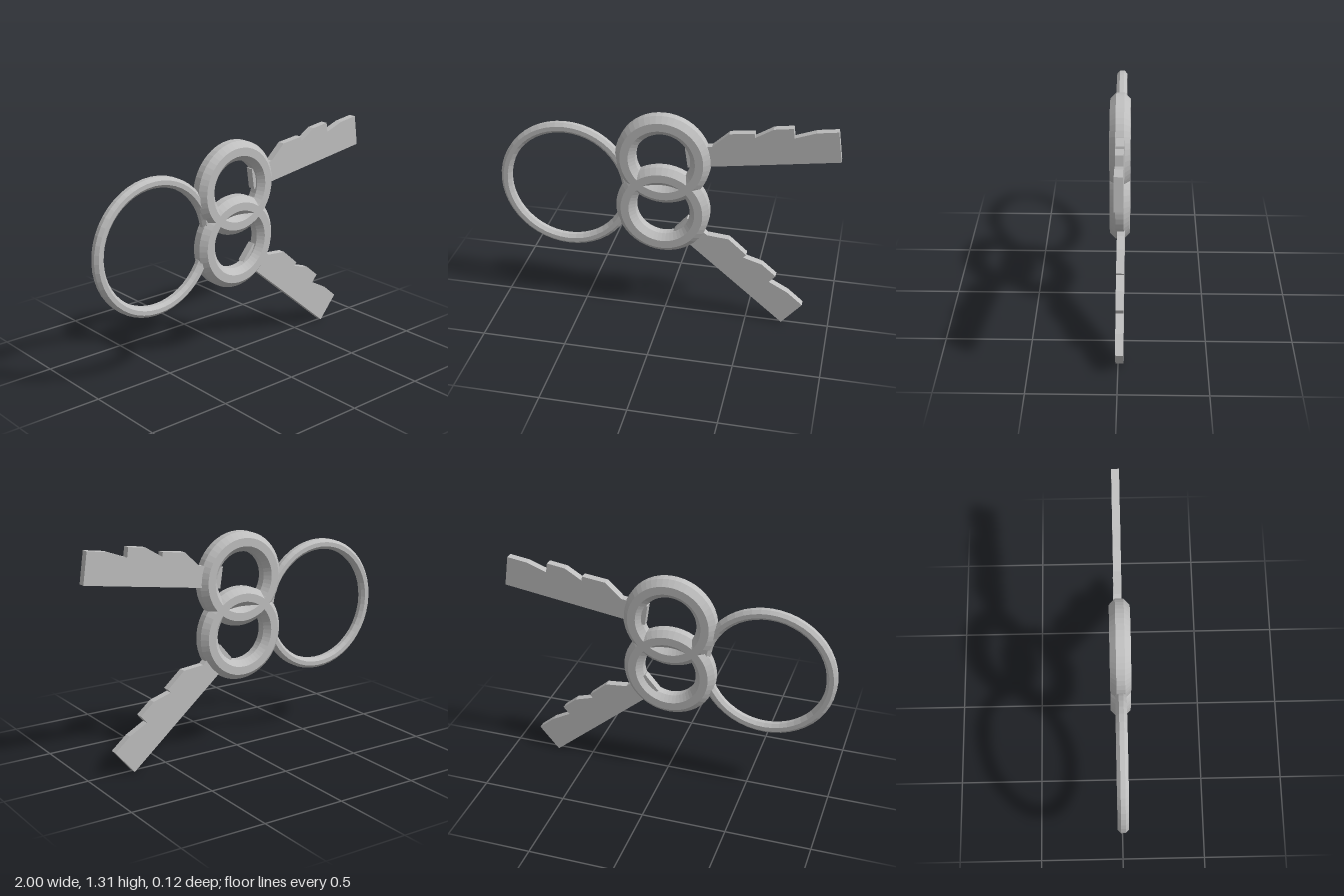
import * as THREE from 'three';

const steel = new THREE.MeshStandardMaterial({ color: 0xbfbfbf });
steel.name = 'steelGrey';

// Faceted ring with an octagonal section whose flats face front, back, in and out
function makeRing(name, x, y, radius, halfThickness) {
  const corner = halfThickness / Math.cos(Math.PI / 8);
  const profile = [];
  for (let i = 0; i <= 8; i++) {
    const a = (i + 0.5) * Math.PI / 4;
    profile.push(new THREE.Vector2(radius + corner * Math.cos(a), corner * Math.sin(a)));
  }
  const geometry = new THREE.LatheGeometry(profile, 48).toNonIndexed();
  geometry.computeVertexNormals();
  geometry.rotateX(Math.PI / 2);
  const ring = new THREE.Mesh(geometry, steel);
  ring.name = name;
  ring.position.set(x, y, 0);
  return ring;
}

// Toothed blade; its local origin is the lower corner of the tip
const bladeOutline = [
  [0, 0], [0, 0.184], [-0.122, 0.184], [-0.246, 0.158], [-0.246, 0.216], [-0.357, 0.216],
  [-0.465, 0.17], [-0.465, 0.196], [-0.608, 0.199], [-0.715, 0.125], [-0.873, 0.125], [-0.873, 0],
].map(([x, y]) => new THREE.Vector2(x, y));

function makeBlade(name, x, y, degrees) {
  const geometry = new THREE.ExtrudeGeometry(new THREE.Shape(bladeOutline), {
    depth: 0.045, bevelEnabled: false,
  });
  const blade = new THREE.Mesh(geometry, steel);
  blade.name = name;
  blade.position.set(x, y, -0.03);
  blade.rotation.z = THREE.MathUtils.degToRad(degrees);
  return blade;
}

export function createModel() {
  const model = new THREE.Group();
  model.name = 'keysOnRing';
  model.add(
    makeRing('keyRing', -0.593, 0.801, 0.373, 0.031),
    makeRing('upperKeyBow', -0.012, 1.034, 0.22, 0.058),
    makeRing('lowerKeyBow', -0.012, 0.707, 0.22, 0.058),
    makeBlade('upperKeyBlade', 0.998, 1.124, 8.3),
    makeBlade('lowerKeyBlade', 0.72, 0.002, -40.2),
  );
  return model;
}
